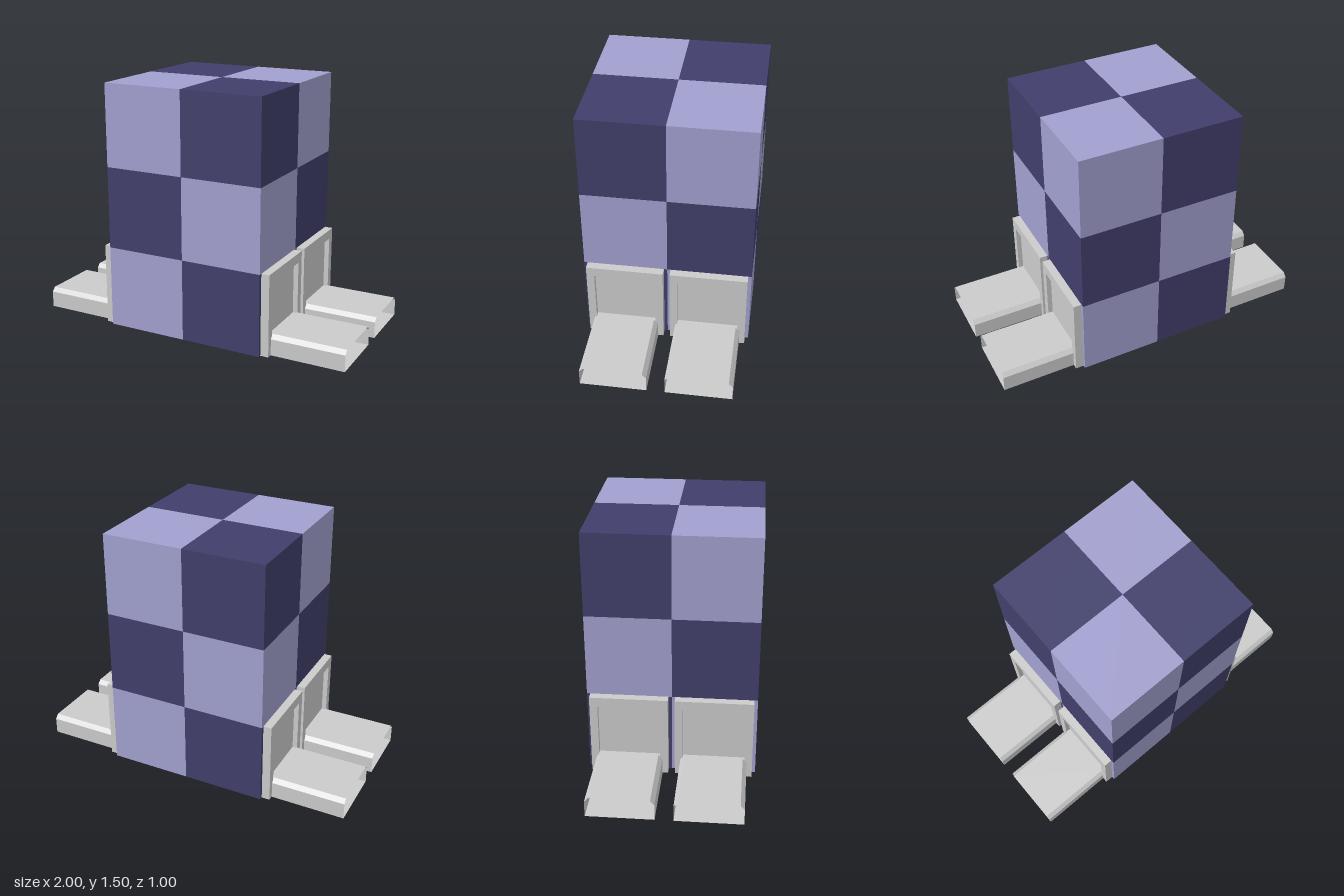
import * as THREE from 'three';

const grey = new THREE.MeshStandardMaterial({ color: 0xcccccc, flatShading: true });
const thinGrey = new THREE.MeshStandardMaterial({ color: 0xcccccc, flatShading: true, side: THREE.DoubleSide });
const dark = new THREE.MeshStandardMaterial({ color: 0x413f6b });
const light = new THREE.MeshStandardMaterial({ color: 0xa2a0cf });

function addMesh(parent, name, geometry, material) {
  const mesh = new THREE.Mesh(geometry, material);
  mesh.name = name;
  parent.add(mesh);
  return mesh;
}

// Rectangle outline as corner points, counter-clockwise
const rect = (x0, y0, x1, y1) =>
  [[x0, y0], [x1, y0], [x1, y1], [x0, y1]].map(([x, y]) => new THREE.Vector2(x, y));

// Raised border with a recessed middle; local z points outward
function frameGeometry() {
  const shape = new THREE.Shape(rect(-0.23, 0, 0.23, 0.5));
  shape.holes.push(new THREE.Path(rect(-0.183, 0.115, 0.183, 0.44)));
  return new THREE.ExtrudeGeometry(shape, { depth: 0.05, bevelEnabled: false });
}

// Open-ended sleeve: a chamfered outline swept from z0 to z1
function sleeveGeometry(z0, z1) {
  const outline = [[-0.197, 0], [0.197, 0], [0.197, 0.1], [0.173, 0.125], [-0.173, 0.125], [-0.197, 0.1]];
  const positions = [];
  outline.forEach((a, i) => {
    const b = outline[(i + 1) % outline.length];
    positions.push(...a, z0, ...b, z0, ...b, z1, ...a, z0, ...b, z1, ...a, z1);
  });
  const geometry = new THREE.BufferGeometry();
  geometry.setAttribute('position', new THREE.Float32BufferAttribute(positions, 3));
  geometry.computeVertexNormals();
  return geometry;
}

export function createModel() {
  const model = new THREE.Group();
  model.name = 'checkeredBlockWithSleeves';

  // Checkered body, 2 x 3 x 2 cubes
  const body = new THREE.Group();
  body.name = 'checkeredBody';
  model.add(body);
  const cube = new THREE.BoxGeometry(0.5, 0.5, 0.5);
  for (let ix = 0; ix < 2; ix++)
    for (let iy = 0; iy < 3; iy++)
      for (let iz = 0; iz < 2; iz++) {
        const isDark = (ix + iy + iz) % 2 === 0;
        addMesh(body, isDark ? 'darkCube' : 'lightCube', cube, isDark ? dark : light)
          .position.set(ix * 0.5 - 0.25, iy * 0.5 + 0.25, iz * 0.5 - 0.25);
      }

  // Two ports on each side: frame, recessed panel and sleeve
  const frame = frameGeometry();
  const panel = new THREE.BoxGeometry(0.37, 0.33, 0.02);
  const sleeve = sleeveGeometry(0.05, 0.5);
  for (const side of [1, -1])
    for (const z of [0.25, -0.25]) {
      const port = new THREE.Group();
      port.name = (side > 0 ? 'left' : 'right') + (z > 0 ? 'Front' : 'Back') + 'Port';
      port.position.set(side * 0.5, 0, z);
      port.rotation.y = side * Math.PI / 2;
      addMesh(port, 'portFrame', frame, grey);
      addMesh(port, 'recessedPanel', panel, grey).position.set(0, 0.2775, 0.01);
      addMesh(port, 'openSleeve', sleeve, thinGrey);
      model.add(port);
    }

  return model;
}
